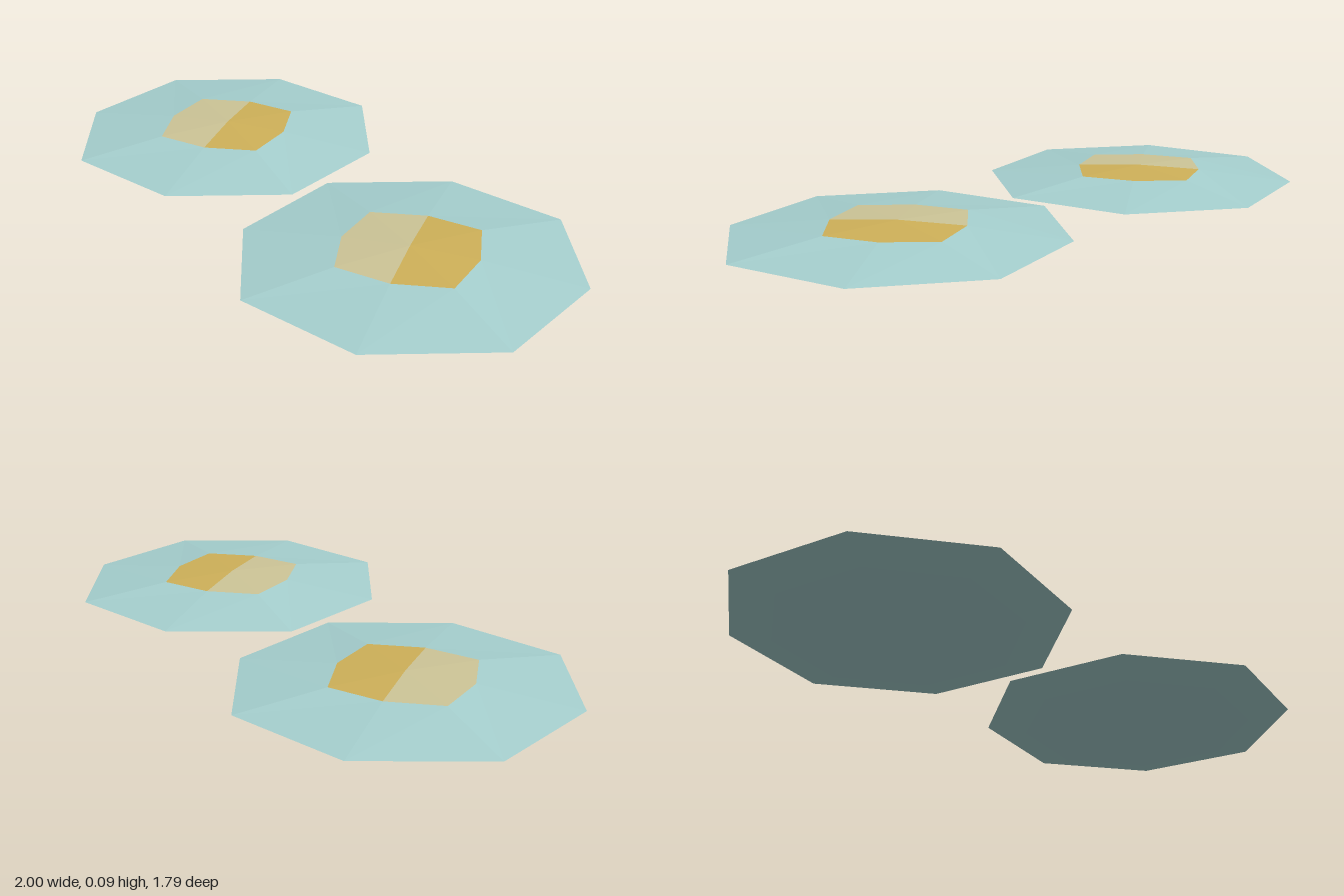
import * as THREE from 'three';

const mat = (name, color) => {
  const m = new THREE.MeshStandardMaterial({ color, flatShading: true });
  m.name = name;
  return m;
};

// Eight-sided ring: reach along the axes, x/z offset of the diagonal corners, height
const ring = (axis, diagonal, y) => Array.from({ length: 8 }, (_, i) => {
  const a = i * Math.PI / 4;
  const r = i % 2 ? diagonal * Math.SQRT2 : axis;
  return new THREE.Vector3(r * Math.cos(a), y, r * Math.sin(a));
});

// Faceted skin joining rings from top to bottom over the chosen sectors
function facets(name, rings, sectors, material) {
  const points = [];
  const triangle = (a, b, c) => {
    if (!a.equals(b) && !b.equals(c) && !a.equals(c)) points.push(a, b, c);
  };
  for (let k = 0; k + 1 < rings.length; k++) {
    const upper = rings[k], lower = rings[k + 1];
    for (const i of sectors) {
      const j = (i + 1) % 8;
      triangle(upper[i], upper[j], lower[j]);
      triangle(upper[i], lower[j], lower[i]);
    }
  }
  const geometry = new THREE.BufferGeometry().setFromPoints(points);
  geometry.computeVertexNormals();
  const mesh = new THREE.Mesh(geometry, material);
  mesh.name = name;
  return mesh;
}

export function createModel() {
  const teal = mat('pale teal', 0xa6d0cf);
  const pale = mat('pale straw', 0xcdc597);
  const gold = mat('gold', 0xcfb159);

  const peak = ring(0, 0, 0.088);
  const patchEdge = ring(0.222, 0.185, 0.079);
  const rim = ring(0.555, 0.402, 0.045);
  const underEdge = ring(0.41, 0.295, 0.014);
  const base = ring(0, 0, 0);
  const all = [0, 1, 2, 3, 4, 5, 6, 7];

  const model = new THREE.Group();
  model.name = 'pairOfDiscs';

  // Two identical discs touching corner to corner
  for (const side of [-1, 1]) {
    const disc = new THREE.Group();
    disc.name = side < 0 ? 'backDisc' : 'frontDisc';
    disc.add(
      facets('discBody', [patchEdge, rim, underEdge, base], all, teal),
      facets('centreLeftHalf', [peak, patchEdge], [6, 7, 0, 1], gold),
      facets('centreRightHalf', [peak, patchEdge], [2, 3, 4, 5], pale),
    );
    disc.position.set(side * 0.445, 0, side * 0.34);
    model.add(disc);
  }
  return model;
}
